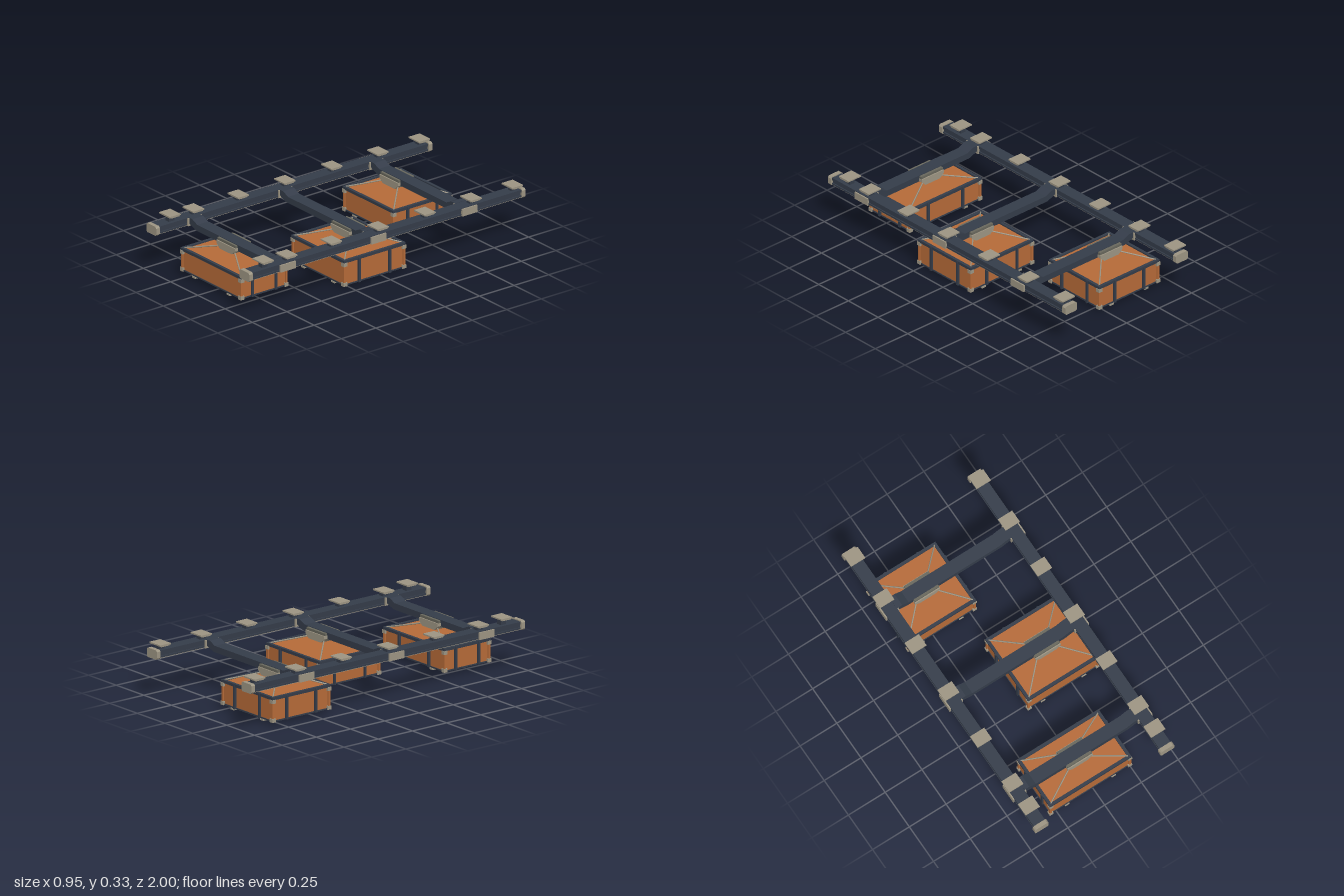
import * as THREE from 'three';

const mat = (name, color) => new THREE.MeshStandardMaterial({ name, color });

export function createModel() {
  const navy = mat('navy steel', 0x343c49);
  const taupe = mat('taupe fittings', 0x9c9482);
  const orange = mat('orange panel', 0xb56a38);
  const grey = mat('dark grey clamp', 0x68675c);
  const root = new THREE.Group();
  root.name = 'overheadCargoRails';

  const add = (parent, name, geo, m, x = 0, y = 0, z = 0) => {
    const mesh = new THREE.Mesh(geo, m);
    mesh.name = name;
    mesh.position.set(x, y, z);
    parent.add(mesh);
    return mesh;
  };
  // Box given by its centre x, z and its bottom and top heights
  const box = (parent, name, m, x, z, w, d, y0, y1) =>
    add(parent, name, new THREE.BoxGeometry(w, y1 - y0, d), m, x, (y0 + y1) / 2, z);
  // Outline in x and y, extruded along z about its centre
  const slab = (pts, depth) => {
    const s = new THREE.Shape(pts.map(([x, y]) => new THREE.Vector2(x, y)));
    return new THREE.ExtrudeGeometry(s, { depth, bevelEnabled: false }).translate(0, 0, -depth / 2);
  };
  const group = (name) => {
    const g = new THREE.Group();
    g.name = name;
    root.add(g);
    return g;
  };

  const beamZ = [-0.595, 0.063, 0.72];
  const hangerZ = [-0.94, -0.64, -0.307, 0.033, 0.37, 0.695, 0.865];
  const capShape = [[-0.046, 0.245], [-0.037, 0.236], [0.037, 0.236], [0.046, 0.245],
    [0.046, 0.283], [0.037, 0.292], [-0.037, 0.292], [-0.046, 0.283]];

  // Long rails with end caps, ceiling hangers and joint plates
  for (const side of [-1, 1]) {
    const rail = group(side > 0 ? 'leftRail' : 'rightRail');
    const x = side * 0.427;
    box(rail, 'topFlange', navy, x, 0, 0.076, 1.96, 0.27, 0.286);
    box(rail, 'web', navy, x, 0, 0.062, 1.96, 0.252, 0.27);
    box(rail, 'bottomFlange', navy, x, 0, 0.076, 1.96, 0.242, 0.252);
    box(rail, 'bottomStrip', taupe, x, 0, 0.07, 1.96, 0.238, 0.242);
    for (const end of [-1, 1]) add(rail, 'endCap', slab(capShape, 0.026), taupe, x, 0, end * 0.987);
    hangerZ.forEach((z, i) => {
      const lift = i === hangerZ.length - 1 ? 0.011 : 0;
      box(rail, 'hangerStem', navy, x, z, 0.034, 0.04, 0.285, 0.31 + lift);
      box(rail, 'hangerFoot', taupe, x, z, 0.095, 0.06, 0.307 + lift, 0.312 + lift);
      box(rail, 'hangerPlate', taupe, x, z, 0.097, 0.08, 0.312 + lift, 0.32 + lift);
    });
    for (const z of beamZ) {
      box(rail, 'jointPlate', taupe, side * 0.469, z, 0.01, 0.11, 0.238, 0.282);
      box(rail, 'jointCollar', taupe, side * 0.386, z, 0.01, 0.1, 0.238, 0.285);
    }
  }

  // Dropped cross beams
  const beamShape = [[-0.39, 0.255], [-0.322, 0.23], [0.322, 0.23], [0.39, 0.255],
    [0.39, 0.288], [0.355, 0.288], [0.31, 0.268], [-0.31, 0.268], [-0.355, 0.288], [-0.39, 0.288]];
  for (const z of beamZ) add(root, 'crossBeam', slab(beamShape, 0.08), navy, 0, 0, z);

  // Crates: centre x, centre z, width, depth, bottom height
  const crates = [
    [-0.195, -0.597, 0.465, 0.425, 0.02],
    [0.192, 0.062, 0.485, 0.445, 0.01],
    [-0.022, 0.719, 0.555, 0.34, 0.026],
  ];
  const top = 0.168;
  const clampShape = [[-0.085, 0.25], [-0.085, 0.232], [-0.055, 0.206],
    [0.055, 0.206], [0.085, 0.232], [0.085, 0.25]];

  crates.forEach(([cx, cz, w, d, y0]) => {
    const crate = group('cargoCrate');
    crate.position.set(cx, 0, cz);
    const hw = w / 2, hd = d / 2;
    box(crate, 'body', orange, 0, 0, w - 0.018, d - 0.018, y0 + 0.006, top - 0.008);
    box(crate, 'floor', navy, 0, 0, w - 0.01, d - 0.01, y0, y0 + 0.008);

    // Rims, corner posts and corner blocks
    for (const s of [-1, 1]) {
      box(crate, 'topRimLong', navy, 0, s * (hd - 0.009), w, 0.018, top - 0.017, top);
      box(crate, 'topRimShort', navy, s * (hw - 0.009), 0, 0.018, d - 0.036, top - 0.017, top);
      for (const t of [-1, 1]) {
        box(crate, 'cornerPost', orange, s * (hw - 0.008), t * (hd - 0.008), 0.014, 0.014, y0, top - 0.017);
        for (const y of [y0 - 0.001, top - 0.037])
          box(crate, 'cornerBlock', taupe, s * (hw - 0.01), t * (hd - 0.01), 0.026, 0.026, y, y + 0.022);
      }
      // Straps under the floor, ribs on the back and both sides
      box(crate, 'floorStrap', taupe, s * w * 0.285, 0, 0.03, d, y0 - 0.01, y0);
      box(crate, 'backRib', navy, s * w * 0.24, -hd + 0.004, 0.014, 0.016, y0, top - 0.004);
      for (const t of [-1, 1])
        box(crate, 'sideRib', navy, t * (hw - 0.004), s * d * 0.25, 0.016, 0.014, y0, top - 0.004);
    }

    // Clamp around the beam
    add(crate, 'clamp', slab(clampShape, 0.125), taupe);
    box(crate, 'clampTop', grey, 0, 0, 0.166, 0.112, 0.25, 0.265);

    // Four cables from the clamp to the corners
    for (const s of [-1, 1]) for (const t of [-1, 1]) {
      const path = new THREE.LineCurve3(
        new THREE.Vector3(s * (hw - 0.015), top - 0.002, t * (hd - 0.015)),
        new THREE.Vector3(s * 0.068, 0.218, t * 0.05));
      add(crate, 'cable', new THREE.TubeGeometry(path, 1, 0.0045, 6), taupe);
    }
  });
  return root;
}
